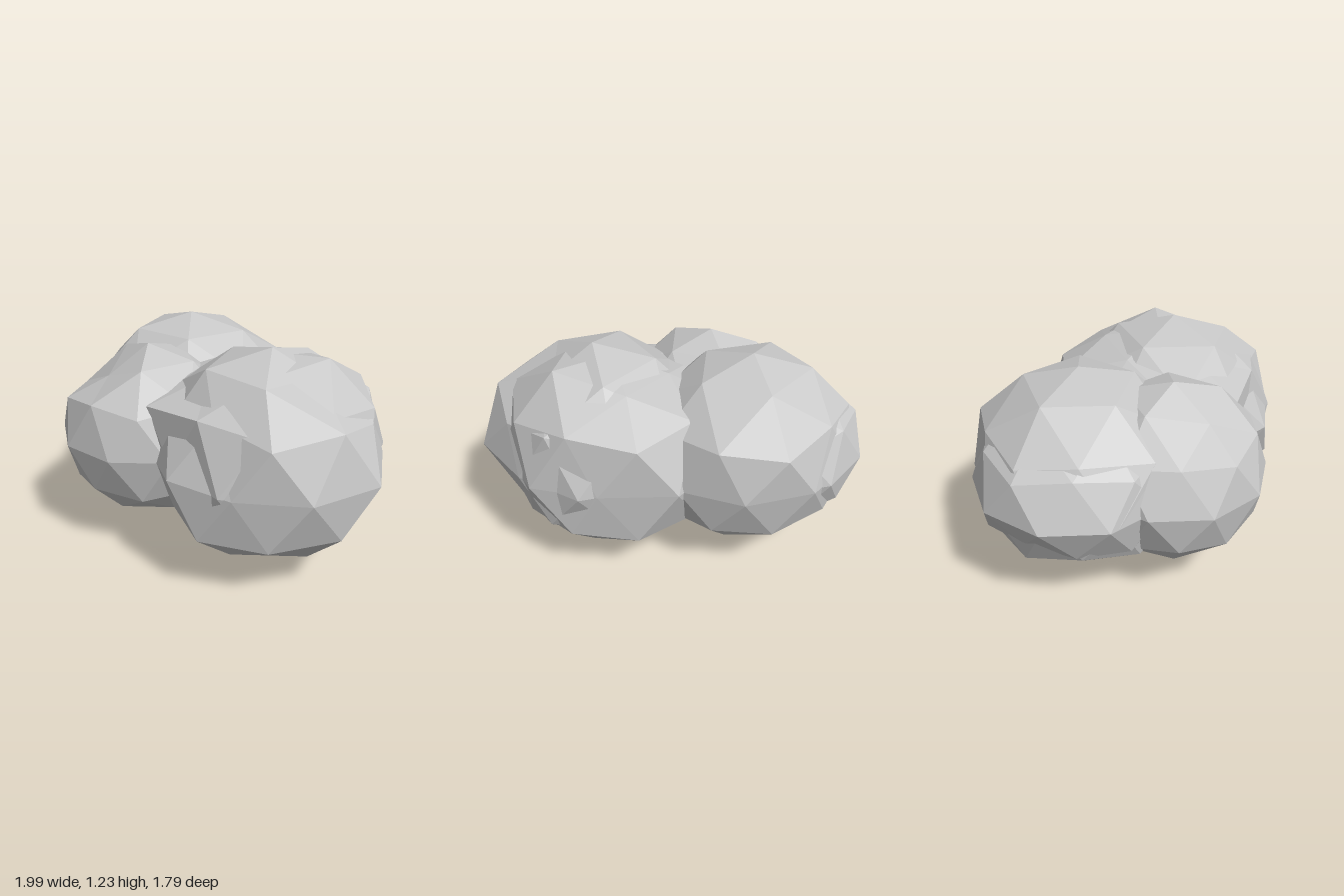
import * as THREE from 'three';

// Low-poly lobe with a vertex at each pole; floor and ceiling flatten its ends.
// Each point in "pulls" draws the nearest corner of the lobe to itself.
function lobe(name, material, { center, radii, floor = -Infinity, ceiling = Infinity, pulls }) {
  const geometry = new THREE.IcosahedronGeometry(1, 1);
  geometry.rotateZ(-Math.atan2(1, (1 + Math.sqrt(5)) / 2));
  geometry.scale(...radii);
  geometry.translate(...center);
  const p = geometry.attributes.position;
  for (let i = 0; i < p.count; i++) {
    p.setY(i, THREE.MathUtils.clamp(p.getY(i), floor, ceiling));
  }
  const v = new THREE.Vector3();
  for (const pull of pulls) {
    const target = new THREE.Vector3(...pull);
    const distances = Array.from({ length: p.count }, (_, i) => v.fromBufferAttribute(p, i).distanceTo(target));
    const nearest = Math.min(...distances);
    distances.forEach((d, i) => {
      if (d < nearest + 1e-4) p.setXYZ(i, ...pull);
    });
  }
  geometry.computeVertexNormals();
  const mesh = new THREE.Mesh(geometry, material);
  mesh.name = name;
  return mesh;
}

export function createModel() {
  const grey = new THREE.MeshStandardMaterial({ color: 0xc8c8c8 });
  grey.name = 'light grey';
  grey.flatShading = true;

  const model = new THREE.Group();
  model.name = 'lobedCluster';
  model.add(
    // Two overlapping lobes form the large left mass
    lobe('largeLobe', grey, {
      center: [0.28, 0.645, 0.18], radii: [0.68, 0.645, 0.71], floor: 0, ceiling: 1.175,
      pulls: [
        [-0.24, 0.93, 0.57], [0.11, 0.96, 0.72], // front ridge
        [-0.08, 0.645, 0.66], [-0.1, 0.34, 0.48], // hollow beside the front right lobe
        [0.04, 1.07, 0.36], [0.03, 1.08, -0.03], [0.37, 1.1, -0.15], [0.38, 1.13, 0.5], // top
        [0.655, 0.645, -0.31], // back
        [0.19, 0.14, -0.1], [0.2, 0.1, 0.42], [-0.08, 0.13, 0.18] // underside
      ]
    }),
    lobe('frontLeftLobe', grey, {
      center: [0.35, 0.64, 0.27], radii: [0.68, 0.59, 0.67], floor: 0.135,
      pulls: [
        [0.35, 0.645, 0.89], [-0.03, 0.645, 0.8], [0.73, 0.645, 0.8], // widest ring
        [0.995, 0.645, 0.49], [0.94, 0.645, 0.08],
        [0.53, 0.91, 0.84], [0.19, 0.95, 0.7], [-0.1, 0.87, 0.6], // upper front
        [0.16, 0.37, 0.87], [0.52, 0.345, 0.82], [-0.1, 0.36, 0.58], // lower front
        [0.9, 0.88, 0.27], [0.85, 0.33, 0.25], [0.6, 1.1, 0.27], // outer side
        [0.42, 1.12, 0.6] // crown
      ]
    }),
    // Back mass with a small bulge on its outer side
    lobe('backLobe', grey, {
      center: [-0.35, 0.645, -0.3], radii: [0.65, 0.575, 0.595], floor: 0.135,
      pulls: [
        [-0.17, 0.9, -0.86], [0.12, 0.93, -0.65], [-0.79, 0.9, 0.07], // upper corners
        [-0.87, 0.93, -0.3], [-0.9, 0.4, -0.3], [-0.66, 0.19, -0.3] // outer side
      ]
    }),
    lobe('backBulge', grey, {
      center: [-0.47, 0.64, -0.33], radii: [0.555, 0.47, 0.56], floor: 0.41,
      pulls: [[-0.91, 0.42, -0.33], [-0.91, 0.88, -0.33], [-0.83, 0.46, -0.59]]
    }),
    // Smaller lobe at the front right
    lobe('frontRightLobe', grey, {
      center: [-0.41, 0.64, 0.19], radii: [0.53, 0.51, 0.53],
      pulls: [[-0.58, 0.99, 0.36], [-0.83, 0.87, 0.19]]
    })
  );
  return model;
}
